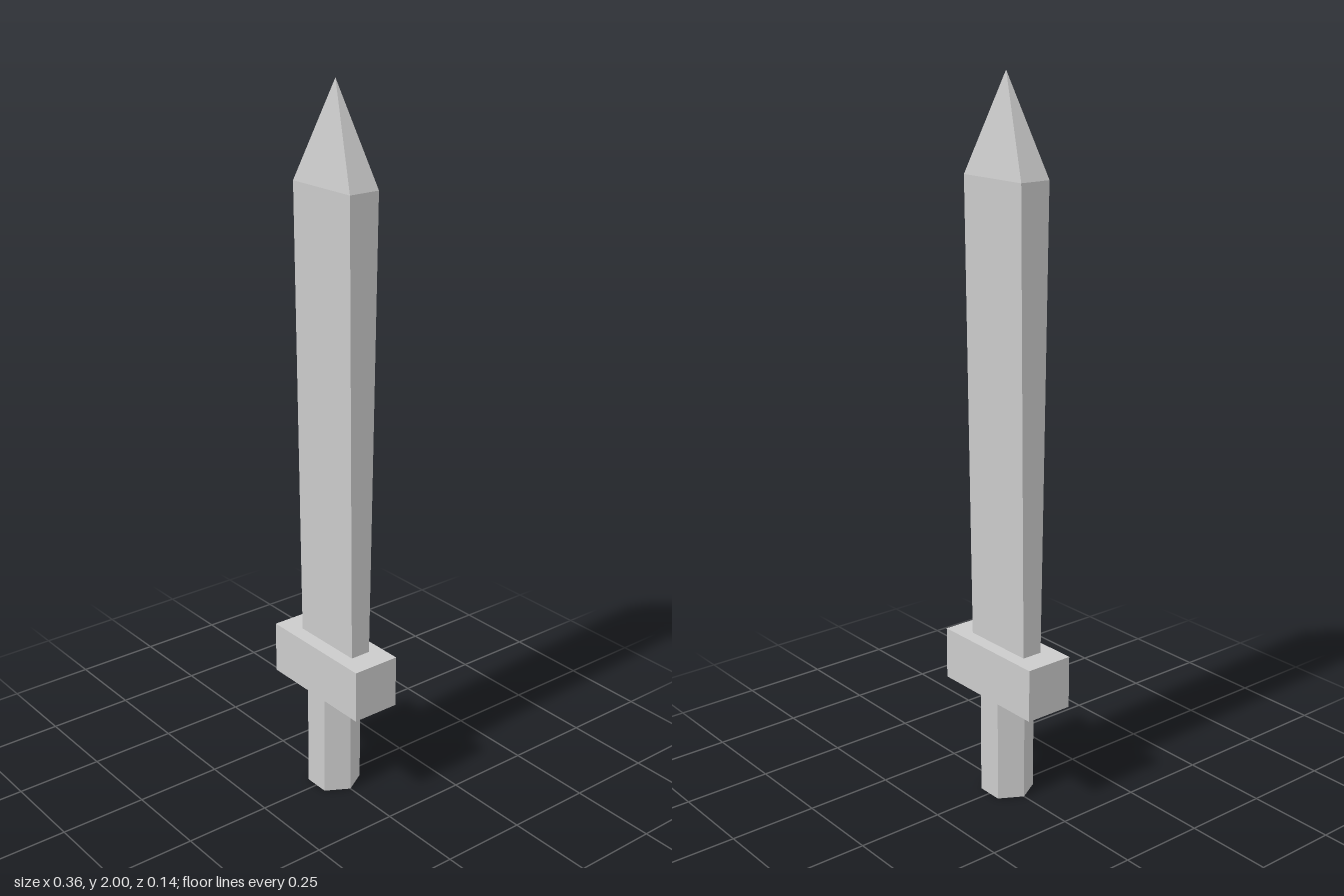
import * as THREE from 'three';

const material = new THREE.MeshStandardMaterial({ color: 0xcccccc, flatShading: true });

function part(name, geometry, x, y, z) {
  const mesh = new THREE.Mesh(geometry, material);
  mesh.name = name;
  mesh.position.set(x, y, z);
  return mesh;
}

export function createModel() {
  const group = new THREE.Group();
  group.name = 'sword';

  // Hexagonal grip with two corners pointing along x
  const grip = new THREE.CylinderGeometry(0.075, 0.075, 0.3, 6, 1, false, Math.PI / 6);
  group.add(part('grip', grip, 0, 0.15, 0));

  // Crossguard block
  group.add(part('crossguard', new THREE.BoxGeometry(0.364, 0.15, 0.142), 0, 0.375, -0.002));

  // Blade: a box that widens and thickens towards the tip
  const bottom = 0.45, shoulder = 1.735, width = 0.23, depth = 0.092;
  const length = shoulder - bottom;
  const blade = new THREE.BoxGeometry(width, length, depth);
  const p = blade.attributes.position;
  for (let i = 0; i < p.count; i++) {
    if (p.getY(i) < 0) {
      p.setX(i, p.getX(i) * 0.97);
      p.setZ(i, p.getZ(i) * 0.66);
    }
  }
  blade.computeVertexNormals();
  group.add(part('blade', blade, 0, bottom + length / 2, -0.004));

  // Four-sided tip with the same footprint as the blade's end
  const tipHeight = 2 - shoulder;
  const tip = new THREE.ConeGeometry(Math.SQRT1_2, tipHeight, 4, 1, true, Math.PI / 4);
  tip.scale(width, 1, depth);
  group.add(part('bladeTip', tip, 0, shoulder + tipHeight / 2, -0.004));

  return group;
}
